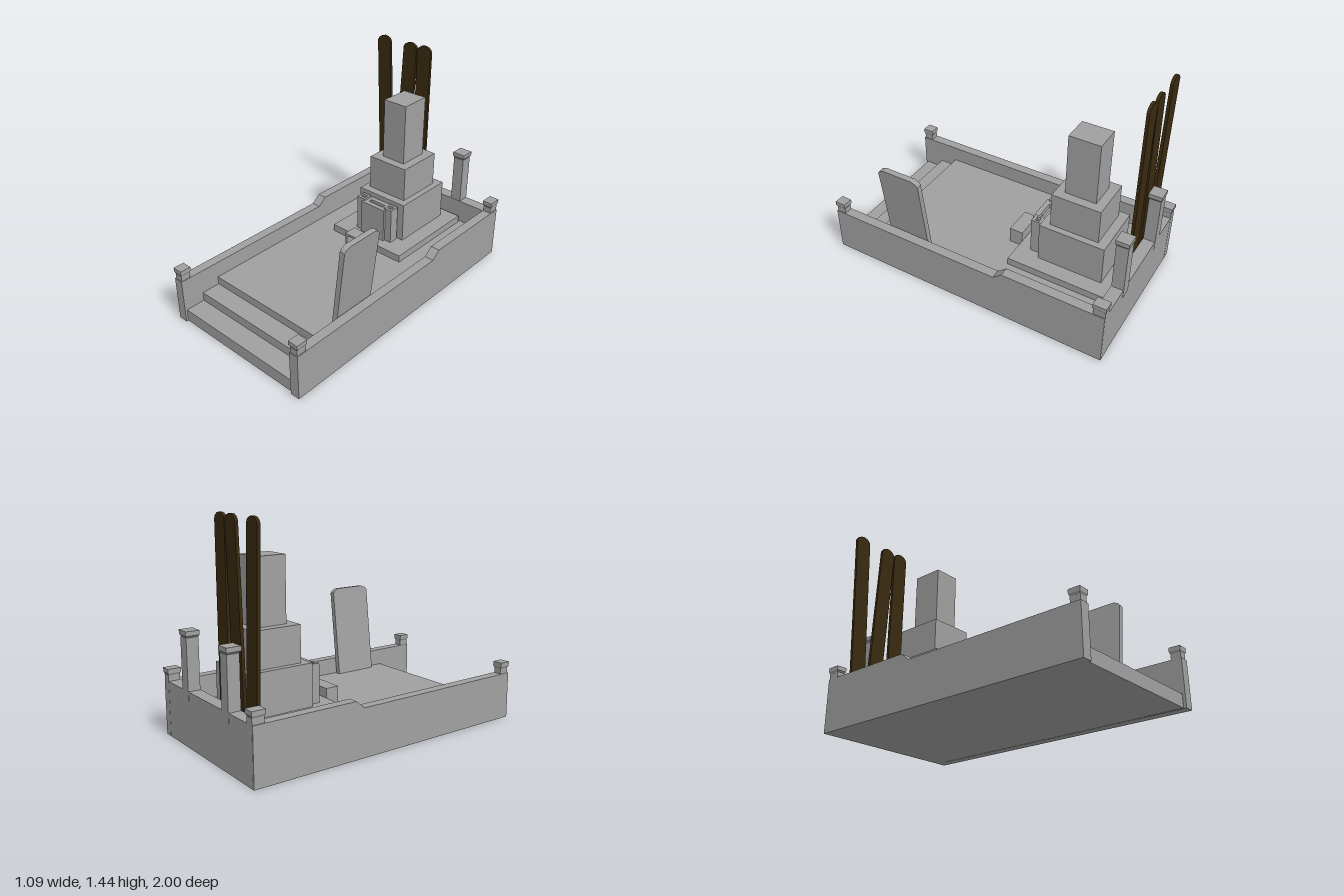
import * as THREE from 'three';

export function createModel() {
  const model = new THREE.Group();
  const stone = new THREE.MeshStandardMaterial({ color: 0xa0a0a0 });
  stone.name = 'grey stone';
  const wood = new THREE.MeshStandardMaterial({ color: 0x3a2a10 });
  wood.name = 'dark wood';

  const add = (name, geometry, material = stone, parent = model) => {
    const mesh = new THREE.Mesh(geometry, material);
    mesh.name = name;
    parent.add(mesh);
    return mesh;
  };
  // box given by its limits on each axis
  const box = (name, x0, x1, y0, y1, z0, z1, parent = model) => {
    const g = new THREE.BoxGeometry(x1 - x0, y1 - y0, z1 - z0);
    g.translate((x0 + x1) / 2, (y0 + y1) / 2, (z0 + z1) / 2);
    return add(name, g, stone, parent);
  };
  const polygon = (pts, Type = THREE.Shape) => new Type(pts.map(p => new THREE.Vector2(...p)));
  const extrude = (shape, depth) => new THREE.ExtrudeGeometry(shape, { depth, bevelEnabled: false });
  const rect = (x0, x1, y0, y1, Type) => polygon([[x0, y0], [x1, y0], [x1, y1], [x0, y1]], Type);

  // floor and entrance steps
  box('floor', -0.485, 0.47, 0, 0.2, -0.92, 0.72);
  box('upperStep', -0.48, 0.467, 0, 0.145, 0.72, 0.85);
  box('lowerStep', -0.48, 0.467, 0, 0.085, 0.85, 0.985);

  // side walls with a ramped rise toward the back (profile drawn in -z, y)
  const wallProfile = polygon([[-1, 0], [0.99, 0], [0.99, 0.36], [0.3, 0.36], [0.24, 0.31], [-1, 0.31]]);
  for (const [name, x] of [['rightWall', -0.545], ['leftWall', 0.475]]) {
    const g = extrude(wallProfile, 0.065);
    g.rotateY(Math.PI / 2);
    g.translate(x, 0, 0);
    add(name, g);
  }
  box('backWall', -0.48, 0.475, 0, 0.36, -0.99, -0.91);

  // posts with a flared neck and a square cap
  function post(name, x, z, w, d, bottom, height) {
    const group = new THREE.Group();
    group.name = name;
    model.add(group);
    const top = height - 0.04;
    const pw = w - 0.015, pd = d - 0.01;
    box('shaft', x - pw / 2, x + pw / 2, bottom, top, z - pd / 2, z + pd / 2, group);
    const neck = new THREE.CylinderGeometry(Math.SQRT1_2, Math.SQRT1_2 * 0.8, 0.012, 4, 1).toNonIndexed();
    neck.rotateY(Math.PI / 4);
    neck.scale(w, 1, d);
    neck.translate(x, top + 0.006, z);
    neck.computeVertexNormals();
    add('neck', neck, stone, group);
    box('cap', x - w / 2, x + w / 2, top + 0.012, height, z - d / 2, z + d / 2, group);
  }
  post('frontRightPost', -0.512, 0.962, 0.07, 0.075, 0, 0.388);
  post('frontLeftPost', 0.507, 0.962, 0.07, 0.075, 0, 0.388);
  post('backRightPost', -0.512, -0.952, 0.07, 0.088, 0, 0.44);
  post('backLeftPost', 0.507, -0.952, 0.07, 0.088, 0, 0.44);
  post('tallRightPost', -0.25, -0.952, 0.092, 0.09, 0.3, 0.73);
  post('tallLeftPost', 0.241, -0.952, 0.092, 0.09, 0.3, 0.73);

  // stacked monument
  box('plinth', -0.3, 0.293, 0.2, 0.25, -0.89, -0.2);
  box('lowerTier', -0.195, 0.188, 0.25, 0.525, -0.81, -0.365);
  box('middleTier', -0.155, 0.146, 0.525, 0.762, -0.75, -0.42);
  box('pillar', -0.093, 0.085, 0.762, 1.18, -0.69, -0.48);

  // upright block with a pocket sunk in its top
  function pocketBlock(name, x0, x1, z0, z1, top, mx, mz) {
    const shape = rect(x0, x1, -z1, -z0);
    shape.holes.push(rect(x0 + mx, x1 - mx, -z1 + mz, -z0 - mz, THREE.Path));
    const g = extrude(shape, top - 0.25);
    g.rotateX(-Math.PI / 2);
    g.translate(0, 0.25, 0);
    add(name, g);
    box(name + 'Pocketfloor', x0 + mx, x1 - mx, 0.25, top - 0.03, z0 + mz, z1 - mz);
  }
  pocketBlock('rightFlowerHolder', -0.155, -0.09, -0.355, -0.286, 0.503, 0.014, 0.02);
  pocketBlock('leftFlowerHolder', 0.083, 0.146, -0.355, -0.286, 0.503, 0.014, 0.02);
  pocketBlock('waterStone', -0.104, 0.095, -0.366, -0.27, 0.49, 0.038, 0.034);

  // incense box, open to the front
  const frame = rect(-0.102, 0.095, 0.2, 0.31);
  frame.holes.push(polygon([[-0.088, 0.215], [0.081, 0.215], [0.081, 0.28], [0.068, 0.295],
    [-0.075, 0.295], [-0.088, 0.28]], THREE.Path));
  const frameGeometry = extrude(frame, 0.08);
  frameGeometry.translate(0, 0, -0.182);
  add('incenseBox', frameGeometry);
  box('incenseBoxBack', -0.102, 0.095, 0.2, 0.31, -0.195, -0.182);
  box('incenseTray', -0.064, 0.058, 0.2, 0.236, -0.17, -0.092);

  // name slab leaning on the left wall (profile drawn in -z, y)
  const slab = extrude(polygon([[-0.6, 0], [-0.3, 0], [-0.3, 0.585], [-0.315, 0.603],
    [-0.345, 0.615], [-0.555, 0.615], [-0.585, 0.603], [-0.6, 0.585]]), 0.036);
  slab.rotateY(Math.PI / 2);
  const slabMesh = add('leaningSlab', slab);
  slabMesh.position.set(0.42, 0.203, 0);
  slabMesh.rotation.z = -0.122;

  // tall wooden boards with rounded heads, behind the monument
  const board = polygon([[-0.056, 0], [0.056, 0], [0.056, 1.205], [0.045, 1.225], [0.025, 1.238],
    [0, 1.243], [-0.025, 1.238], [-0.045, 1.225], [-0.056, 1.205]]);
  const boards = [['rightBoard', -0.385, 0.045], ['middleBoard', -0.262, -0.045], ['leftBoard', -0.09, 0]];
  for (const [name, x, lean] of boards) {
    const mesh = add(name, extrude(board, 0.02), wood);
    mesh.position.set(x, 0.2, -0.905);
    mesh.rotation.z = lean;
  }
  return model;
}
